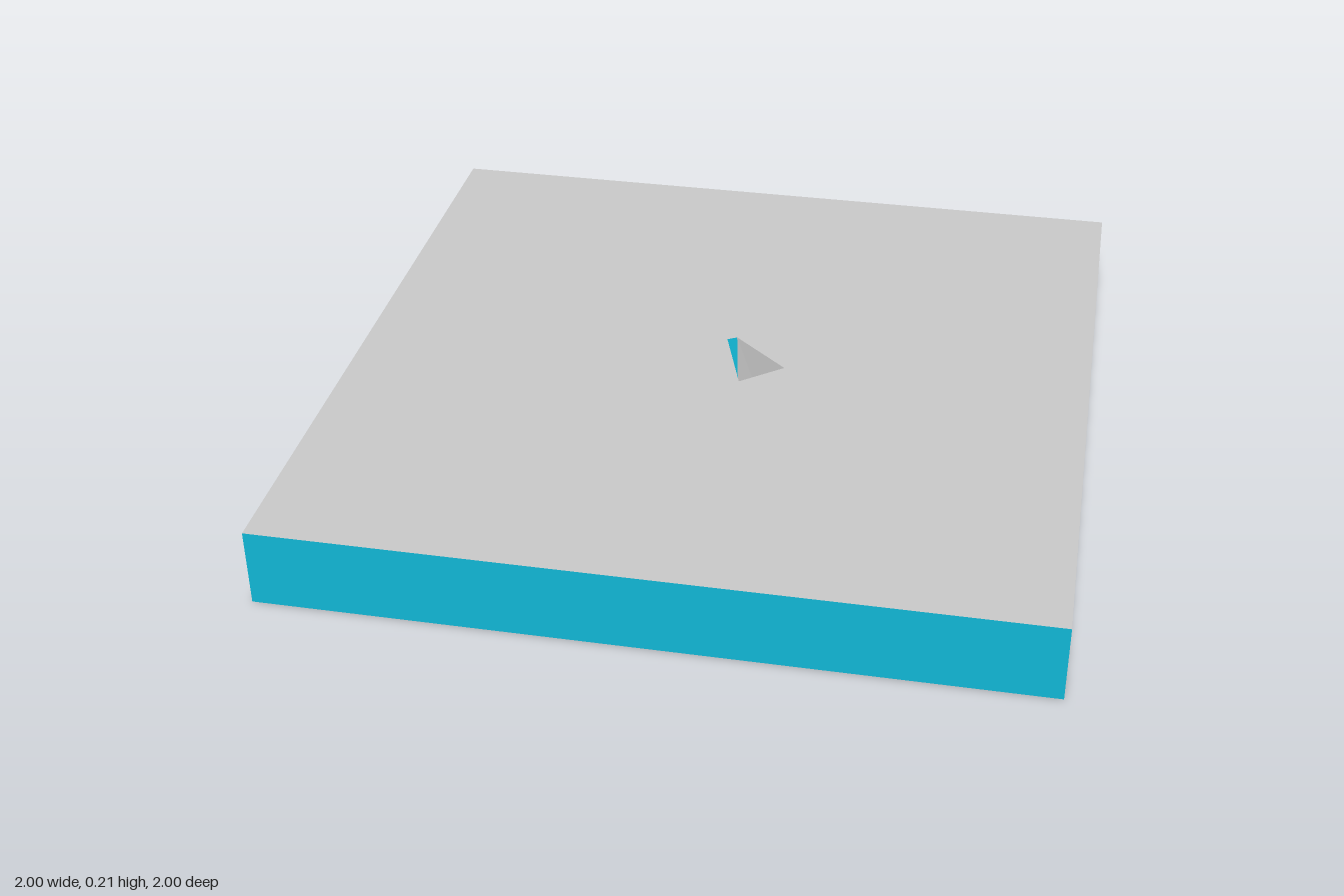
import * as THREE from 'three';

const H = 0.21;
// Matching corner loops [x, z] of the slab and of the twisted opening
const slab = [[-1, -1], [1, -1], [1, 1], [-1, 1]];
const holeTop = [[-0.005, -0.11], [0.02, -0.125], [0.175, 0.01], [0.065, 0.1]];
const holeBottom = [[-0.085, 0.11], [0.03, -0.09], [0.14, 0.003], [-0.015, 0.13]];

const material = (color) =>
  new THREE.MeshStandardMaterial({ color, flatShading: true, side: THREE.DoubleSide });

// Flat square sheet with an opening, laid at height y
function sheet(hole, y) {
  const points = (loop) => loop.map(([x, z]) => new THREE.Vector2(x, -z));
  const shape = new THREE.Shape(points(slab));
  shape.holes.push(new THREE.Path(points(hole)));
  return new THREE.ShapeGeometry(shape).rotateX(-Math.PI / 2).translate(0, y, 0);
}

// Wall strips joining chosen sides of an upper and a lower loop
function walls(top, bottom, sides) {
  const position = [];
  for (const i of sides) {
    const j = (i + 1) % 4;
    const up = (k) => [top[k][0], H, top[k][1]];
    const low = (k) => [bottom[k][0], 0, bottom[k][1]];
    position.push(...up(i), ...up(j), ...low(j), ...up(i), ...low(j), ...low(i));
  }
  const geometry = new THREE.BufferGeometry();
  geometry.setAttribute('position', new THREE.Float32BufferAttribute(position, 3));
  geometry.computeVertexNormals();
  return geometry;
}

export function createModel() {
  const group = new THREE.Group();
  const grey = material(0xcccccc);
  const teal = material(0x10b8d6);
  const add = (name, geometry, mat) => {
    const mesh = new THREE.Mesh(geometry, mat);
    mesh.name = name;
    group.add(mesh);
  };

  add('topFace', sheet(holeTop, H), grey);
  add('bottomFace', sheet(holeBottom, 0), grey);
  // Reversed loop so the outer walls face outward
  const outer = [...slab].reverse();
  add('outerWalls', walls(outer, outer, [0, 1, 2, 3]), teal);
  // Opening: overhanging sides are coloured, upward-leaning sides are grey
  add('openingOverhang', walls(holeTop, holeBottom, [0, 3]), teal);
  add('openingSlope', walls(holeTop, holeBottom, [1, 2]), grey);
  return group;
}
